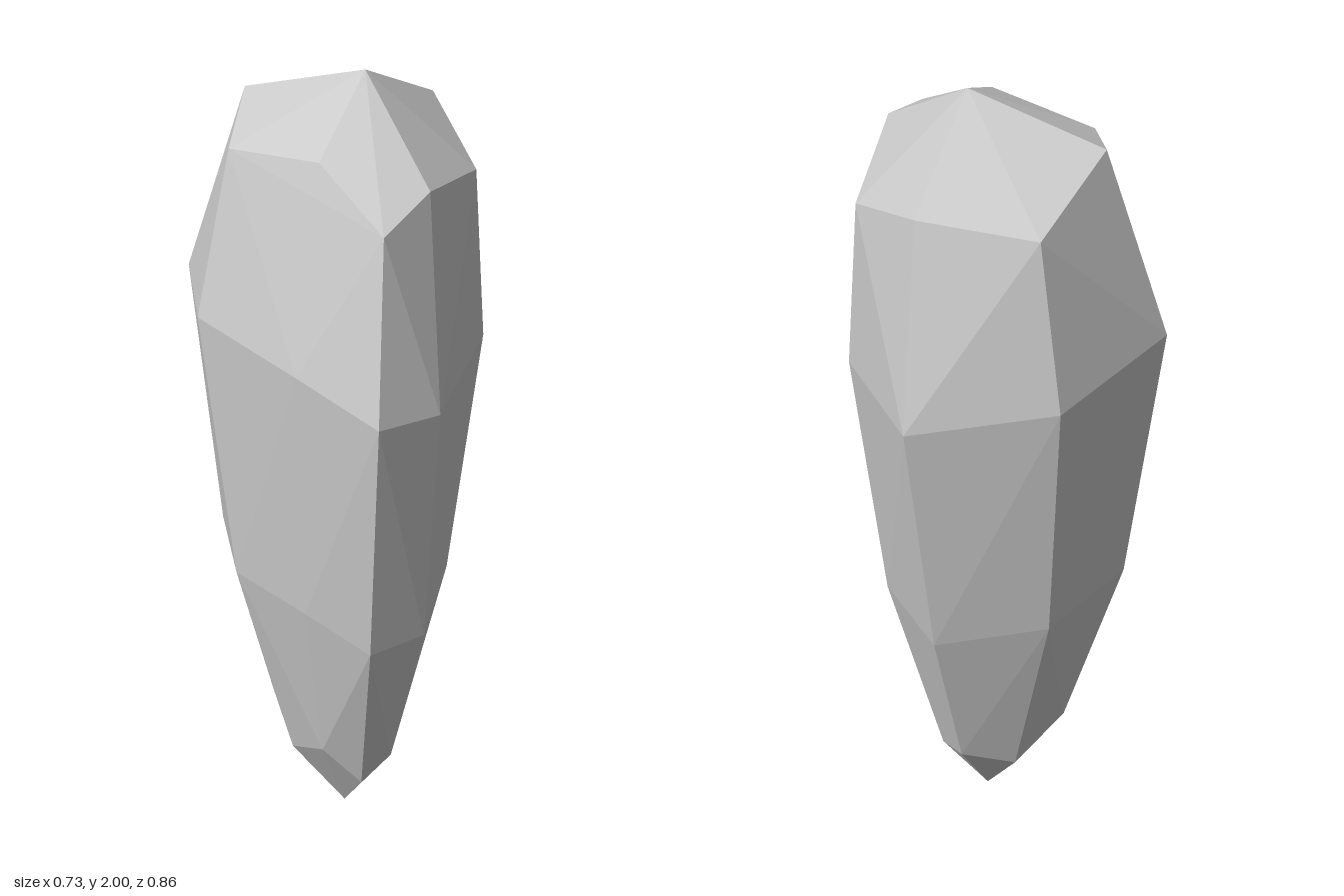
import * as THREE from 'three';
import { ConvexGeometry } from 'three/addons/geometries/ConvexGeometry.js';

// Eight-sided rings from bottom to top, each starting at the back and
// running round past -x to the front and on to +x: [x, y, z]
const RINGS = [
  // lower tip facets
  [[0, 0.21, -0.2], [-0.157, 0.29, -0.2], [-0.17, 0.21, -0.07], [-0.16, 0.3, 0.08],
    [-0.075, 0.195, 0.125], [-0.005, 0.275, 0.15], [0.085, 0.19, -0.01], [0.14, 0.29, -0.16]],
  // lower body
  [[0.03, 0.77, -0.35], [-0.234, 0.79, -0.309], [-0.31, 0.79, -0.067], [-0.24, 0.785, 0.16],
    [-0.155, 0.74, 0.32], [0, 0.73, 0.295], [0.2, 0.72, 0.055], [0.265, 0.755, -0.22]],
  // widest girdle
  [[0.085, 1.435, -0.43], [-0.27, 1.465, -0.365], [-0.365, 1.465, -0.1], [-0.28, 1.44, 0.215],
    [-0.195, 1.395, 0.43], [-0.025, 1.37, 0.39], [0.255, 1.365, 0.1], [0.36, 1.4, -0.25]],
  // crown
  [[0.1, 1.825, -0.37], [-0.155, 1.91, -0.27], [-0.28, 1.85, -0.09], [-0.185, 1.885, 0.15],
    [-0.145, 1.79, 0.355], [0.007, 1.83, 0.275], [0.235, 1.765, 0.08], [0.275, 1.853, -0.185]],
];
const BOTTOM_TIP = [-0.035, 0, -0.045];
const TOP_TIP = [0.01, 2, -0.015];

export function createModel() {
  const group = new THREE.Group();
  group.name = 'crystal';

  // One faceted shard wrapped around the rings and both tips
  const points = [BOTTOM_TIP, ...RINGS.flat(), TOP_TIP].map((p) => new THREE.Vector3(...p));
  const shard = new THREE.Mesh(
    new ConvexGeometry(points),
    new THREE.MeshStandardMaterial({ color: 0xcccccc, flatShading: true }),
  );
  shard.name = 'crystalShard';
  group.add(shard);
  return group;
}
